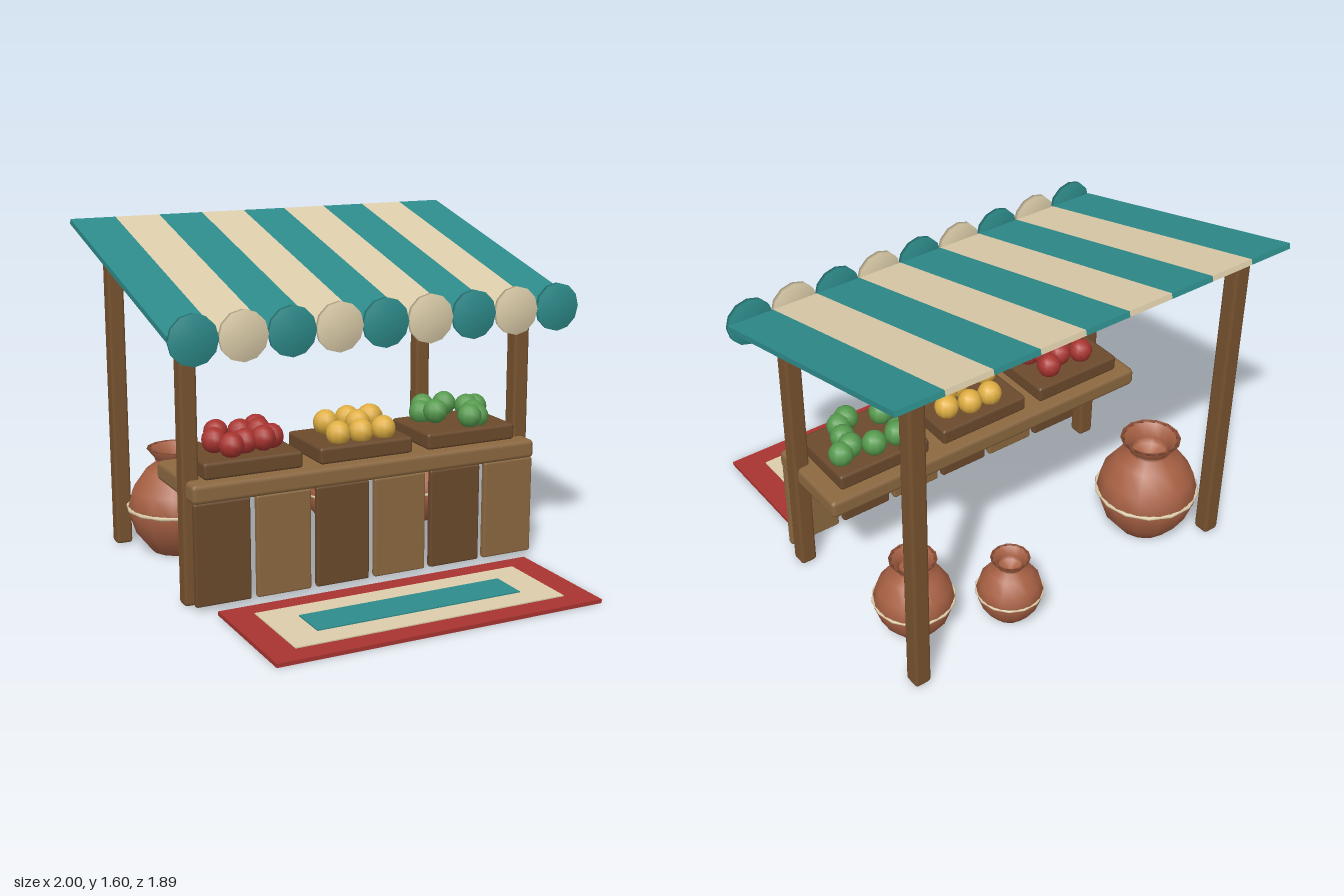
import * as THREE from 'three';
import { mergeVertices } from 'three/addons/utils/BufferGeometryUtils.js';
import { RoundedBoxGeometry } from 'three/addons/geometries/RoundedBoxGeometry.js';

const paint = (name, color, side = THREE.FrontSide) =>
  Object.assign(new THREE.MeshStandardMaterial({ color, side }), { name });

export function createModel() {
  const model = new THREE.Group();
  model.name = 'marketStall';

  const teal = paint('teal cloth', 0x2e8b8b);
  const cream = paint('cream cloth', 0xdccdaa);
  const red = paint('red', 0xa83430);
  const lightWood = paint('light wood', 0x8b6840);
  const darkWood = paint('dark wood', 0x6b4a2c);
  const postWood = paint('post wood', 0x78532f);
  const yellow = paint('yellow fruit', 0xdfae42);
  const green = paint('green fruit', 0x569a4e);
  const clay = paint('terracotta', 0xa86144, THREE.DoubleSide);

  const add = (name, geometry, material, x, y, z, parent = model) => {
    const mesh = new THREE.Mesh(geometry, material);
    mesh.name = name;
    mesh.position.set(x, y, z);
    parent.add(mesh);
    return mesh;
  };
  const bevelBox = (w, h, d, r) => new RoundedBoxGeometry(w, h, d, 1, r);

  // Sloping striped canopy with a row of round scallops along the front
  const stripes = 9;
  const pitch = 2 / stripes;
  const canopy = new THREE.Group();
  canopy.name = 'canopy';
  canopy.position.set(0, 1.412, -0.29);
  canopy.rotation.x = 0.257;
  model.add(canopy);
  const stripeGeo = new THREE.BoxGeometry(pitch, 0.025, 1.345);

  // Shared vertices give the discs a soft, domed shading
  let scallopGeo = new THREE.CylinderGeometry(0.111, 0.111, 0.022, 12);
  scallopGeo.deleteAttribute('normal');
  scallopGeo.deleteAttribute('uv');
  scallopGeo = mergeVertices(scallopGeo);
  scallopGeo.computeVertexNormals();
  scallopGeo.rotateX(Math.PI / 2);

  for (let i = 0; i < stripes; i++) {
    const x = (i - 4) * pitch;
    const cloth = i % 2 ? cream : teal;
    add('canopyStripe', stripeGeo, cloth, x, 0, 0, canopy);
    add('scallop', scallopGeo, cloth, x, 1.23, 0.373);
  }

  // Posts: short in front, tall behind
  for (const side of [-1, 1]) {
    add('frontPost', bevelBox(0.08, 1.21, 0.08, 0.015), postWood, side * 0.84, 0.605, 0.135);
    add('backPost', bevelBox(0.08, 1.53, 0.08, 0.015), postWood, side * 0.84, 0.765, -0.81);
  }

  // Counter and its front planks
  add('counter', bevelBox(1.73, 0.09, 0.47, 0.022), lightWood, 0, 0.53, 0.03);
  for (let i = 0; i < 6; i++) {
    add('plank', bevelBox(0.263, 0.47, 0.036, 0.01), i % 2 ? lightWood : darkWood,
      (i - 2.5) * 0.291, 0.255, 0.24);
  }

  // Crates of fruit: positions are x, y, z relative to each crate
  const fruitGeo = new THREE.SphereGeometry(0.058, 10, 8);
  const crates = [
    ['redFruit', red, -0.555, [
      [-0.13, 0.71, 0.06], [-0.08, 0.70, 0.14], [-0.07, 0.71, -0.07], [0, 0.70, 0.1],
      [0.03, 0.71, -0.03], [0.08, 0.71, 0.12], [0.1, 0.72, 0.02], [0.13, 0.71, -0.08], [0.14, 0.70, 0.07]]],
    ['yellowFruit', yellow, 0, [
      [-0.13, 0.725, 0.04], [-0.11, 0.69, 0.13], [-0.08, 0.69, -0.07], [0, 0.69, 0.14],
      [0.03, 0.71, 0.05], [0.04, 0.7, -0.08], [0.1, 0.725, 0.03], [0.12, 0.69, 0.13], [0.15, 0.7, -0.05]]],
    ['greenFruit', green, 0.55, [
      [-0.12, 0.72, 0.07], [-0.13, 0.69, -0.05], [-0.1, 0.71, -0.09], [0.02, 0.7, 0.15],
      [0.07, 0.69, 0.13], [0.1, 0.69, 0.05], [0.11, 0.7, -0.03], [0.17, 0.69, -0.05], [0.02, 0.71, -0.09]]],
  ];
  for (const [name, material, cx, spots] of crates) {
    add('crate', bevelBox(0.47, 0.078, 0.36, 0.015), darkWood, cx, 0.612, 0.03);
    for (const [x, y, z] of spots) add(name, fruitGeo, material, cx + x, y, z);
  }

  // Clay pots with a cream band, one shape at three sizes
  const profile = [[0, 0], [0.1, 0], [0.155, 0.07], [0.185, 0.16], [0.165, 0.235],
    [0.115, 0.305], [0.074, 0.335], [0.08, 0.355], [0.108, 0.39], [0.09, 0.388],
    [0.062, 0.345], [0.07, 0.31], [0, 0.29]].map(([r, y]) => new THREE.Vector2(r, y));
  const potGeo = new THREE.LatheGeometry(profile, 14);
  const bandGeo = new THREE.TorusGeometry(0.183, 0.007, 6, 14).rotateX(Math.PI / 2);
  for (const [x, z, size] of [[-0.625, -0.6, 1.31], [0.665, -0.52, 1], [0.273, -0.705, 0.83]]) {
    const pot = new THREE.Group();
    pot.name = 'pot';
    pot.position.set(x, 0, z);
    pot.scale.setScalar(size);
    model.add(pot);
    add('potBody', potGeo, clay, 0, 0, 0, pot);
    add('potBand', bandGeo, cream, 0, 0.167, 0, pot);
  }

  // Layered rug in front of the stall
  add('rugBorder', new THREE.BoxGeometry(1.57, 0.018, 0.625), red, 0, 0.009, 0.6325);
  add('rugField', new THREE.BoxGeometry(1.31, 0.005, 0.42), cream, 0, 0.0205, 0.63);
  add('rugCentre', new THREE.BoxGeometry(1, 0.005, 0.185), teal, 0, 0.0255, 0.63);

  return model;
}
